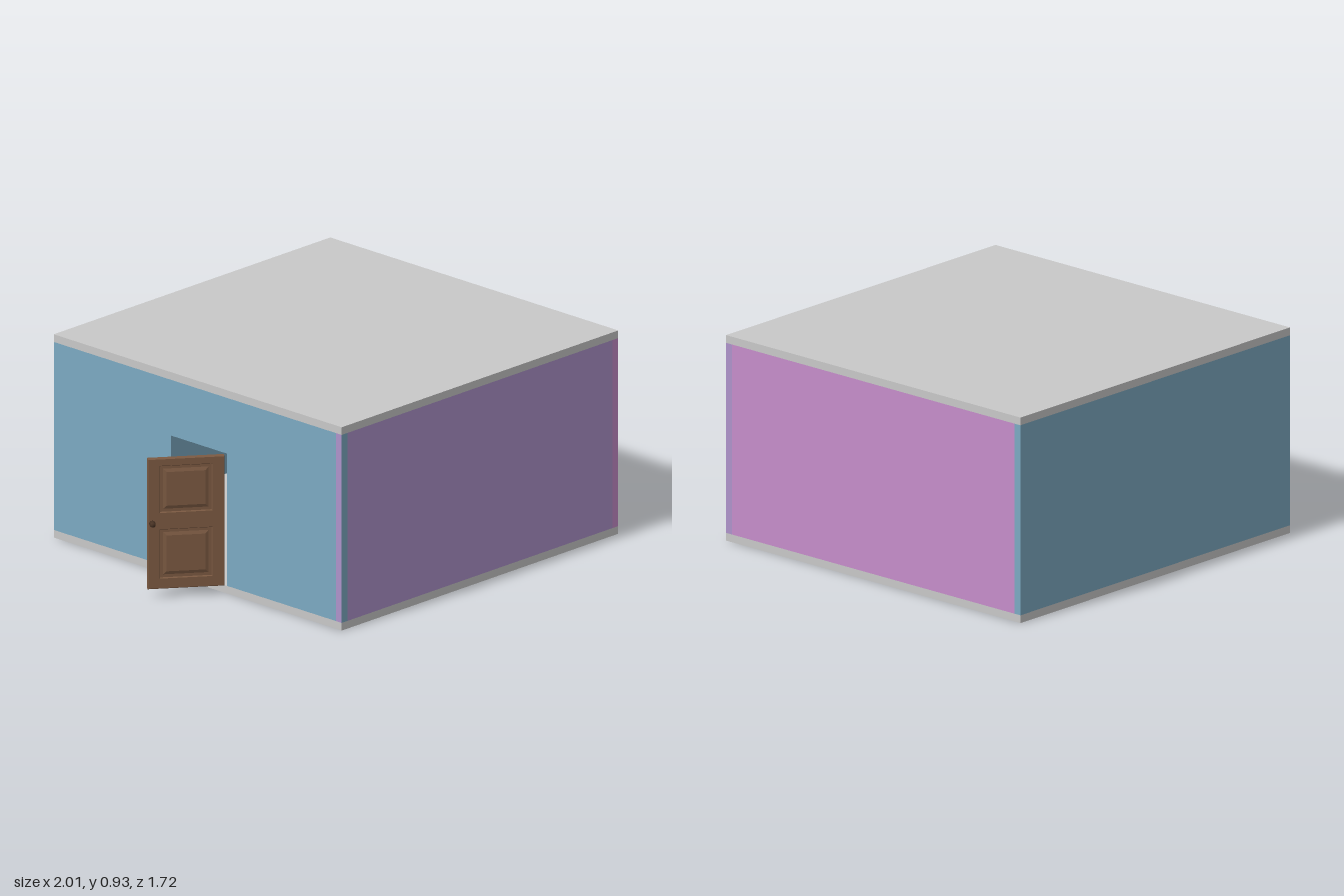
import * as THREE from 'three';

const mat = (name, color) => {
  const m = new THREE.MeshStandardMaterial({ color });
  m.name = name;
  return m;
};

export function createModel() {
  const gray = mat('slab gray', 0xc8c8c8);
  const purple = mat('wall purple', 0xae93cb);
  const pink = mat('wall pink', 0xc68dca);
  const blue = mat('wall blue', 0x7caac2);
  const wood = mat('door wood', 0x7c5a42);
  const darkWood = mat('dark wood', 0x4a3425);

  const model = new THREE.Group();
  model.name = 'room';

  const add = (parent, name, geometry, material) => {
    const mesh = new THREE.Mesh(geometry, material);
    mesh.name = name;
    parent.add(mesh);
    return mesh;
  };
  // Box given by its two opposite corners
  const box = (parent, name, material, [x0, y0, z0], [x1, y1, z1]) => {
    const mesh = add(parent, name, new THREE.BoxGeometry(x1 - x0, y1 - y0, z1 - z0), material);
    mesh.position.set((x0 + x1) / 2, (y0 + y1) / 2, (z0 + z1) / 2);
    return mesh;
  };

  const L = -0.72, R = 1, D = 0.86, T = 0.035, H = 0.93;
  const low = T, high = H - T;

  // Floor and roof slabs
  box(model, 'floor', gray, [L, 0, -D], [R, T, D]);
  box(model, 'roof', gray, [L, high, -D], [R, H, D]);

  // Solid walls
  box(model, 'frontWall', purple, [L + T, low, D - T], [R - T, high, D]);
  box(model, 'backWall', blue, [L, low, -D], [R, high, -D + T]);
  box(model, 'leftWall', pink, [R - T, low, -D + T], [R, high, D - T]);

  // Front corners, where two wall colours meet
  box(model, 'frontLeftCorner', [purple, pink, pink, pink, pink, pink],
    [R - T, low, D - T], [R, high, D]);
  box(model, 'frontRightCorner', [blue, purple, blue, blue, blue, blue],
    [L, low, D - T], [L + T, high, D]);

  // Wall with the doorway
  const z0 = -0.16, z1 = 0.175, doorTop = 0.64;
  const doorWall = new THREE.Group();
  doorWall.name = 'doorWall';
  model.add(doorWall);
  box(doorWall, 'wallBehindDoorway', blue, [L, low, -D + T], [L + T, high, z0]);
  box(doorWall, 'wallBeforeDoorway', blue, [L, low, z1], [L + T, high, D - T]);
  box(doorWall, 'lintel', blue, [L, doorTop, z0], [L + T, high, z1]);

  // Open door: local x runs from hinge to free edge, y from its foot
  const door = new THREE.Group();
  door.name = 'door';
  door.position.set(-0.7275, 0.04, 0.165);
  door.rotation.y = Math.PI - 0.656;
  model.add(door);

  const W = 0.335, DH = 0.595, thick = 0.025;
  const panels = [[0.05, 0.27], [0.35, 0.56]];
  const px0 = 0.055, px1 = 0.28;
  const rect = (C, x0, y0, x1, y1) => {
    const s = new C();
    s.moveTo(x0, y0);
    s.lineTo(x1, y0);
    s.lineTo(x1, y1);
    s.lineTo(x0, y1);
    s.closePath();
    return s;
  };
  // Chamfered plate centred on z = 0
  const plate = (name, shape, depth, bevel, size, material) => {
    const g = new THREE.ExtrudeGeometry(shape, {
      depth: depth - 2 * bevel, bevelEnabled: true, bevelThickness: bevel,
      bevelSize: size, bevelOffset: -size, bevelSegments: 1,
    });
    g.translate(0, 0, -depth / 2 + bevel);
    return add(door, name, g, material);
  };

  const frame = rect(THREE.Shape, 0, 0, W, DH);
  for (const [y0, y1] of panels) frame.holes.push(rect(THREE.Path, px0, y0, px1, y1));
  plate('doorFrame', frame, thick, 0.003, 0.003, wood);

  for (const [y0, y1] of panels) {
    box(door, 'panelRecess', wood, [px0 - 0.005, y0 - 0.005, -0.005], [px1 + 0.005, y1 + 0.005, 0.005]);
    plate('raisedPanel', rect(THREE.Shape, px0 + 0.012, y0 + 0.012, px1 - 0.012, y1 - 0.012),
      0.021, 0.006, 0.016, wood);
  }

  // Knobs on both faces
  const knobProfile = [[0, 0], [0.014, 0], [0.014, 0.003], [0.005, 0.004], [0.005, 0.010],
    [0.011, 0.014], [0.012, 0.018], [0.008, 0.023], [0, 0.024]].map(p => new THREE.Vector2(...p));
  for (const side of [1, -1]) {
    const knob = add(door, 'doorKnob', new THREE.LatheGeometry(knobProfile, 16), darkWood);
    knob.position.set(0.315, 0.3, side * thick / 2);
    knob.rotation.x = side * Math.PI / 2;
  }

  // Low wooden cabinet on short legs by the front wall
  const cabinet = new THREE.Group();
  cabinet.name = 'cabinet';
  model.add(cabinet);
  box(cabinet, 'cabinetBody', darkWood, [-0.08, 0.08, 0.62], [0.4, 0.25, 0.81]);
  for (const x of [-0.08, 0.37]) {
    for (const z of [0.62, 0.78]) {
      box(cabinet, 'cabinetLeg', darkWood, [x, T, z], [x + 0.03, 0.08, z + 0.03]);
    }
  }

  return model;
}
